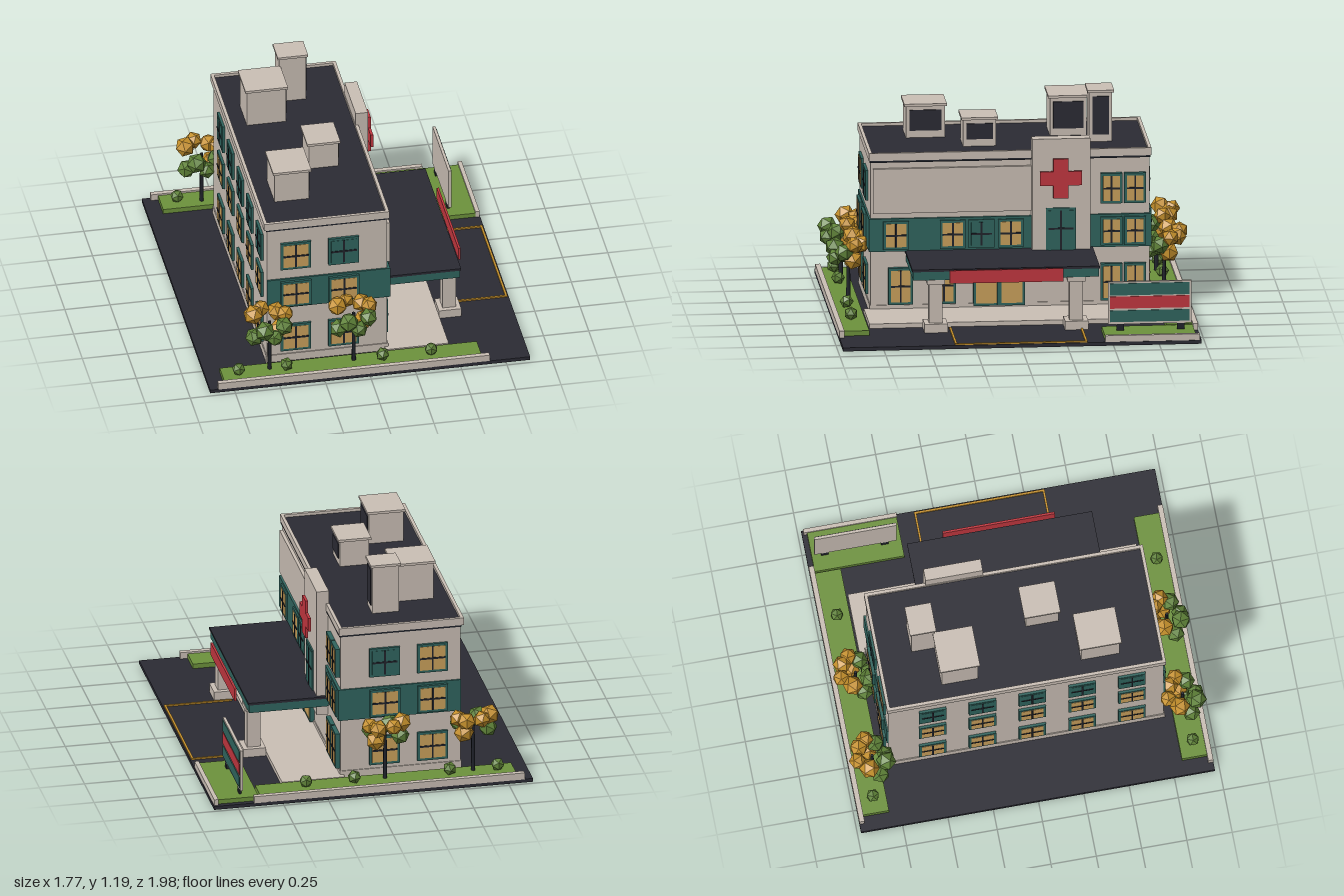
import * as THREE from 'three';

const mat = (name, color) => Object.assign(new THREE.MeshStandardMaterial({ color }), { name });

export function createModel() {
  const model = new THREE.Group();
  model.name = 'clinicBuilding';
  const wall = mat('warm wall', 0xcabfb5), asphalt = mat('asphalt', 0x2b2b34), teal = mat('teal', 0x30655f);
  const red = mat('red', 0xc2373f), amber = mat('lit glass', 0xcba15c), grass = mat('grass', 0x6d923c);
  const leaf = mat('green leaf', 0x5f8238), autumn = mat('autumn leaf', 0xc6912c), dark = mat('dark trim', 0x20232b);
  leaf.flatShading = autumn.flatShading = true;

  // Box from its min and max on each axis
  const box = (name, m, x0, x1, y0, y1, z0, z1, parent = model) => {
    const mesh = new THREE.Mesh(new THREE.BoxGeometry(x1 - x0, y1 - y0, z1 - z0), m);
    mesh.position.set((x0 + x1) / 2, (y0 + y1) / 2, (z0 + z1) / 2);
    mesh.name = name;
    parent.add(mesh);
    return mesh;
  };

  // Site: ground, kerbs, lawns, pavement and bay lines
  box('ground', asphalt, -0.885, 0.883, 0, 0.02, -0.98, 0.973);
  for (const s of [-1, 1]) {
    const [a, b] = s > 0 ? [0.945, 0.973] : [-0.98, -0.952];
    box('kerb', wall, -0.84, 0.66, 0.018, 0.057, a, b);
    const [c, d] = s > 0 ? [0.807, 0.945] : [-0.952, -0.81];
    box('lawn', grass, -0.8, 0.62, 0.02, 0.047, c, d);
  }
  box('signLawn', grass, 0.63, 0.857, 0.02, 0.045, -0.952, -0.457);
  box('signKerb', wall, 0.857, 0.88, 0.02, 0.055, -0.97, -0.455);
  box('pavement', wall, 0.12, 0.468, 0.02, 0.045, -0.8, 0.793);
  for (const z of [-0.353, 0.356]) box('bayLine', autumn, 0.5, 0.876, 0.02, 0.028, z - 0.006, z + 0.006);
  box('bayLine', autumn, 0.864, 0.876, 0.02, 0.028, -0.353, 0.356);

  // Main block
  const X0 = -0.53, X1 = 0.135, Z0 = -0.763, Z1 = 0.757;
  box('mainBlock', wall, X0, X1, 0.02, 0.88, Z0, Z1);
  box('plinth', wall, X0 - 0.005, X1 + 0.005, 0.02, 0.065, Z0 - 0.005, Z1 + 0.005);
  box('eaveStrip', dark, X0 - 0.005, X1 + 0.008, 0.863, 0.876, Z0 - 0.005, Z1 + 0.005);
  box('roof', asphalt, X0, 0.13, 0.875, 0.9, Z0, Z1);
  for (const [a, b] of [[-0.547, -0.529], [0.127, 0.145]]) box('parapet', wall, a, b, 0.874, 0.916, -0.772, 0.767);
  for (const [a, b] of [[-0.772, -0.754], [0.749, 0.767]]) box('parapet', wall, -0.547, 0.145, 0.874, 0.916, a, b);
  box('wallPanel', wall, X1, 0.153, 0.58, 0.83, -0.118, 0.745);

  // Teal band round the two ends and the entrance side
  box('band', teal, X0, 0.15, 0.367, 0.55, Z1, 0.767);
  box('band', teal, X0, 0.15, 0.367, 0.55, -0.772, Z0);
  box('band', teal, X1, 0.15, 0.367, 0.55, Z0, Z1);

  // Window facing local +z, with its back on the wall
  const windowAt = (x, y, z, turn, w, h, glass, depth = 0.014, crossbar = 0) => {
    const g = new THREE.Group();
    g.name = 'window';
    box('frame', teal, -w / 2, w / 2, -h / 2, h / 2, -0.005, depth, g);
    const a = w / 2 - 0.014, b = h / 2 - 0.014;
    box('glass', glass, -a, a, -b, b, depth - 0.002, depth + 0.002, g);
    box('mullion', dark, -0.005, 0.005, -b, b, depth, depth + 0.005, g);
    if (crossbar !== null) box('mullion', dark, -a, a, crossbar - 0.005, crossbar + 0.005, depth, depth + 0.005, g);
    g.position.set(x, y, z);
    g.rotation.y = turn;
    model.add(g);
    return g;
  };
  const rows = [[0.173, 0.168], [0.458, 0.158], [0.696, 0.168]];
  rows.forEach(([y, h], floor) => {
    // Both ends
    for (const [x, right] of [[-0.372, false], [-0.107, true]]) {
      const glass = floor === 2 && right ? teal : amber, out = floor === 1 ? 0.01 : 0;
      windowAt(x, y, Z1 + out, 0, 0.168, h, glass);
      windowAt(x, y, Z0 - out, Math.PI, 0.168, h, glass);
    }
    // Long rear side
    for (let i = 0; i < 5; i++) {
      windowAt(X0, y, -0.52 + i * 0.275, -Math.PI / 2, 0.15, h, floor === 2 ? teal : amber);
    }
    // Entrance side, beyond the tower
    for (const z of [-0.553, -0.682]) {
      windowAt(X1, floor ? y : 0.173, z, Math.PI / 2, 0.118, floor ? h : 0.205, amber, 0.024);
    }
  });
  for (const [z, glass] of [[0.62, amber], [0.311, amber], [0.155, teal], [-0.005, amber]])
    windowAt(X1, 0.458, z, Math.PI / 2, 0.14, 0.158, glass, 0.024);
  for (const z of [0.595, 0.36]) windowAt(X1, 0.173, z, Math.PI / 2, 0.134, 0.205, amber, 0.024);
  windowAt(X1, 0.168, 0.058, Math.PI / 2, 0.28, 0.226, amber, 0.026, null).name = 'entranceDoors';
  box('doorPost', teal, 0.16, 0.168, 0.06, 0.28, 0.046, 0.07);

  // Tower with cross
  box('tower', wall, 0.13, 0.198, 0.256, 0.99, -0.434, -0.118);
  windowAt(0.198, 0.48, -0.274, Math.PI / 2, 0.165, 0.25, teal, 0.008, 0.01);
  box('cross', red, 0.22, 0.235, 0.665, 0.885, -0.312, -0.23);
  for (const [a, b] of [[-0.386, -0.312], [-0.23, -0.158]]) box('cross', red, 0.22, 0.235, 0.737, 0.815, a, b);

  // Entrance canopy and columns
  box('canopyFascia', teal, 0.135, 0.575, 0.31, 0.357, -0.447, 0.564);
  box('canopyRoof', asphalt, 0.135, 0.58, 0.357, 0.37, -0.452, 0.569);
  box('canopyBoard', red, 0.603, 0.615, 0.298, 0.37, -0.25, 0.368);
  for (const z of [-0.325, 0.44]) {
    box('columnBase', wall, 0.47, 0.594, 0.02, 0.068, z - 0.063, z + 0.063);
    box('column', wall, 0.495, 0.568, 0.068, 0.29, z - 0.037, z + 0.037);
    box('columnCapital', wall, 0.485, 0.578, 0.285, 0.31, z - 0.048, z + 0.048);
  }

  // Roadside sign
  box('signBoard', wall, 0.713, 0.729, 0.08, 0.317, -0.938, -0.484);
  [[teal, 0.093, 0.157], [red, 0.168, 0.235], [teal, 0.242, 0.308]].forEach(([m, a, b]) =>
    box('signStripe', m, 0.729, 0.733, a, b, -0.928, -0.494));
  for (const z of [-0.88, -0.55]) box('signLeg', dark, 0.714, 0.728, 0.04, 0.08, z - 0.02, z + 0.02);

  // Rooftop units: x0, x1, z0, z1, top
  for (const [x0, x1, z0, z1, top] of [
    [-0.455, -0.22, -0.462, -0.242, 1.125], [-0.238, -0.07, -0.588, -0.443, 1.188],
    [-0.208, -0.025, 0.048, 0.248, 1.062], [-0.453, -0.242, 0.308, 0.54, 1.09]]) {
    box('roofUnit', wall, x0 + 0.01, x1 - 0.01, 0.89, top - 0.012, z0 + 0.01, z1 - 0.01);
    box('roofUnitLid', wall, x0, x1, top - 0.014, top, z0, z1);
    box('vent', asphalt, x1 - 0.01, x1 - 0.004, 0.94, top - 0.035, z0 + 0.028, z1 - 0.028);
  }

  // Faceted foliage
  const blobShape = new THREE.IcosahedronGeometry(1, 0);
  const blob = (name, m, x, y, z, r, turn) => {
    const b = new THREE.Mesh(blobShape, m);
    b.name = name;
    b.scale.setScalar(r);
    b.position.set(x, y, z);
    b.rotation.y = turn;
    model.add(b);
  };
  const crown = [
    [-0.03, 0.385, -0.085, autumn], [0.05, 0.37, -0.065, autumn], [-0.085, 0.385, -0.03, autumn],
    [0.09, 0.375, -0.025, autumn], [0.075, 0.33, 0.03, leaf], [-0.04, 0.335, 0.07, leaf],
    [0.015, 0.29, 0.075, leaf], [-0.09, 0.28, 0.03, leaf], [0.055, 0.285, -0.02, autumn]];
  const tree = (x, z, turn) => {
    const trunk = new THREE.Mesh(new THREE.CylinderGeometry(0.009, 0.012, 0.31, 6), dark);
    trunk.name = 'trunk';
    trunk.position.set(x, 0.195, z);
    model.add(trunk);
    crown.forEach(([dx, y, dz, m], i) => blob('foliage', m, x + dx, y, z + dz, 0.048 + (i % 3) * 0.004, turn + i));
  };
  tree(-0.535, 0.86, 0);
  tree(-0.07, 0.86, 1);
  tree(-0.578, -0.862, 2);
  tree(-0.09, -0.862, 3);
  for (const z of [0.883, -0.882])
    [-0.71, -0.445, 0.085, 0.353].forEach((x, i) => blob('shrub', leaf, x, 0.078, z, 0.038, i));

  return model;
}
